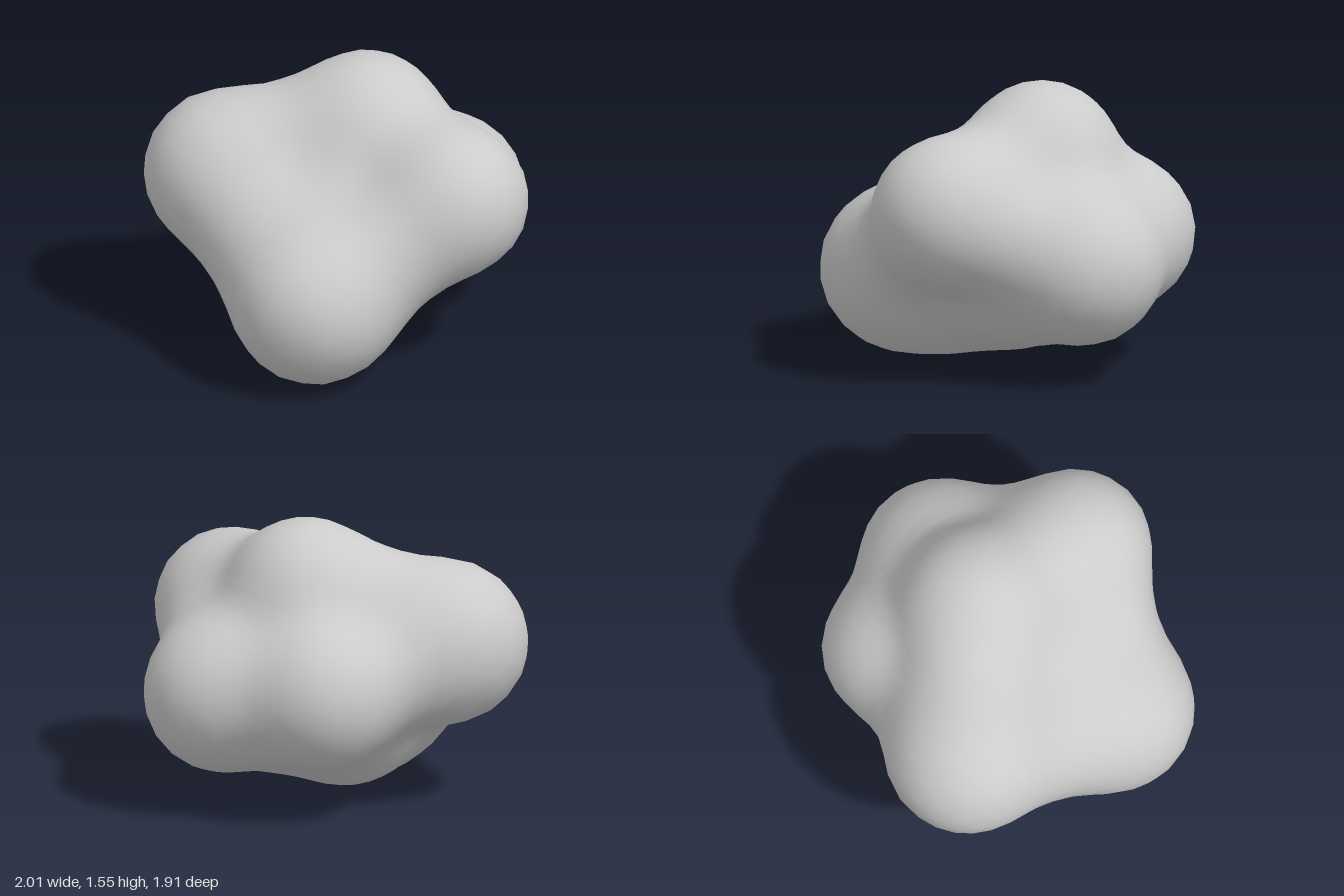
import * as THREE from 'three';
import { mergeVertices } from 'three/addons/utils/BufferGeometryUtils.js';

// Rounded lobes: centre and radius
const LOBES = {
  frontLow: [-0.55, 0.49, 0.36, 0.415],
  frontHigh: [0.21, 0.96, 0.55, 0.355],
  side: [0.58, 0.67, -0.07, 0.39],
  peak: [0.1, 1.16, -0.11, 0.34],
  backHigh: [-0.54, 0.92, -0.51, 0.4],
  backLow: [0.22, 0.73, -0.52, 0.345],
  baseFront: [-0.38, 0.49, 0.18, 0.44],
  baseBack: [-0.15, 0.52, -0.08, 0.44],
  baseSide: [0.2, 0.59, 0, 0.4],
  baseRear: [0.04, 0.62, -0.28, 0.39],
};

// Ridges joining neighbouring lobes: two ends and radius
const RIDGES = [
  ['frontLow', 'backHigh', 0.36],
  ['frontLow', 'frontHigh', 0.305],
  ['backHigh', 'backLow', 0.275],
  ['backHigh', 'peak', 0.355],
  ['frontHigh', 'side', 0.325],
  ['frontHigh', 'peak', 0.32],
  ['side', 'backLow', 0.305],
  ['side', 'peak', 0.265],
  ['backLow', 'peak', 0.26],
];

// Webs filling the hollows between three lobes: three corners and half thickness
const WEBS = [
  ['frontLow', 'backHigh', 'peak', 0.31],
  ['frontLow', 'peak', 'frontHigh', 0.29],
  ['frontHigh', 'peak', 'side', 0.265],
  ['peak', 'side', 'backLow', 0.26],
  ['peak', 'backHigh', 'backLow', 0.26],
  ['backHigh', 'backLow', 'frontLow', 0.31],
  ['frontLow', 'side', 'backLow', 0.35],
  ['frontLow', 'frontHigh', 'side', 0.29],
];

const BLEND = 0.05;
const centre = (name) => new THREE.Vector3(...LOBES[name].slice(0, 3));
const spheres = Object.keys(LOBES).map((n) => ({ c: centre(n), r: LOBES[n][3] }));
const ridges = RIDGES.map(([a, b, r]) => ({ line: new THREE.Line3(centre(a), centre(b)), r }));
const webs = WEBS.map(([a, b, c, r]) => ({ tri: new THREE.Triangle(centre(a), centre(b), centre(c)), r }));
const nearest = new THREE.Vector3();

// Smoothly blended distance to all lobes, ridges and webs
function distance(p) {
  const d = spheres.map((s) => p.distanceTo(s.c) - s.r);
  for (const { line, r } of ridges) {
    line.closestPointToPoint(p, true, nearest);
    d.push(p.distanceTo(nearest) - r);
  }
  for (const { tri, r } of webs) {
    tri.closestPointToPoint(p, nearest);
    d.push(p.distanceTo(nearest) - r);
  }
  const least = Math.min(...d);
  return least - BLEND * Math.log(d.reduce((sum, v) => sum + Math.exp((least - v) / BLEND), 0));
}

export function createModel() {
  const group = new THREE.Group();
  group.name = 'lumpyRock';

  // Shared-vertex sphere shrink-wrapped onto the blended lobes
  let geometry = new THREE.IcosahedronGeometry(1, 9);
  geometry.deleteAttribute('uv');
  geometry.deleteAttribute('normal');
  geometry = mergeVertices(geometry, 1e-4);
  const pos = geometry.attributes.position;
  const origin = new THREE.Vector3(0, 0.75, 0);
  const dir = new THREE.Vector3();
  const p = new THREE.Vector3();
  for (let i = 0; i < pos.count; i++) {
    dir.fromBufferAttribute(pos, i).normalize();
    let t = 1.7;
    for (let step = 0; step < 60; step++) {
      const d = distance(p.copy(origin).addScaledVector(dir, t));
      t -= d;
      if (Math.abs(d) < 1e-4) break;
    }
    p.copy(origin).addScaledVector(dir, t);
    pos.setXYZ(i, p.x, p.y, p.z);
  }

  // Centre it and stand it on the ground
  geometry.computeBoundingBox();
  const mid = geometry.boundingBox.getCenter(new THREE.Vector3());
  geometry.translate(-mid.x, -geometry.boundingBox.min.y, -mid.z);
  geometry.computeVertexNormals();

  const rock = new THREE.Mesh(geometry, new THREE.MeshStandardMaterial({ color: 0xcccccc }));
  rock.name = 'rockBody';
  group.add(rock);
  return group;
}
